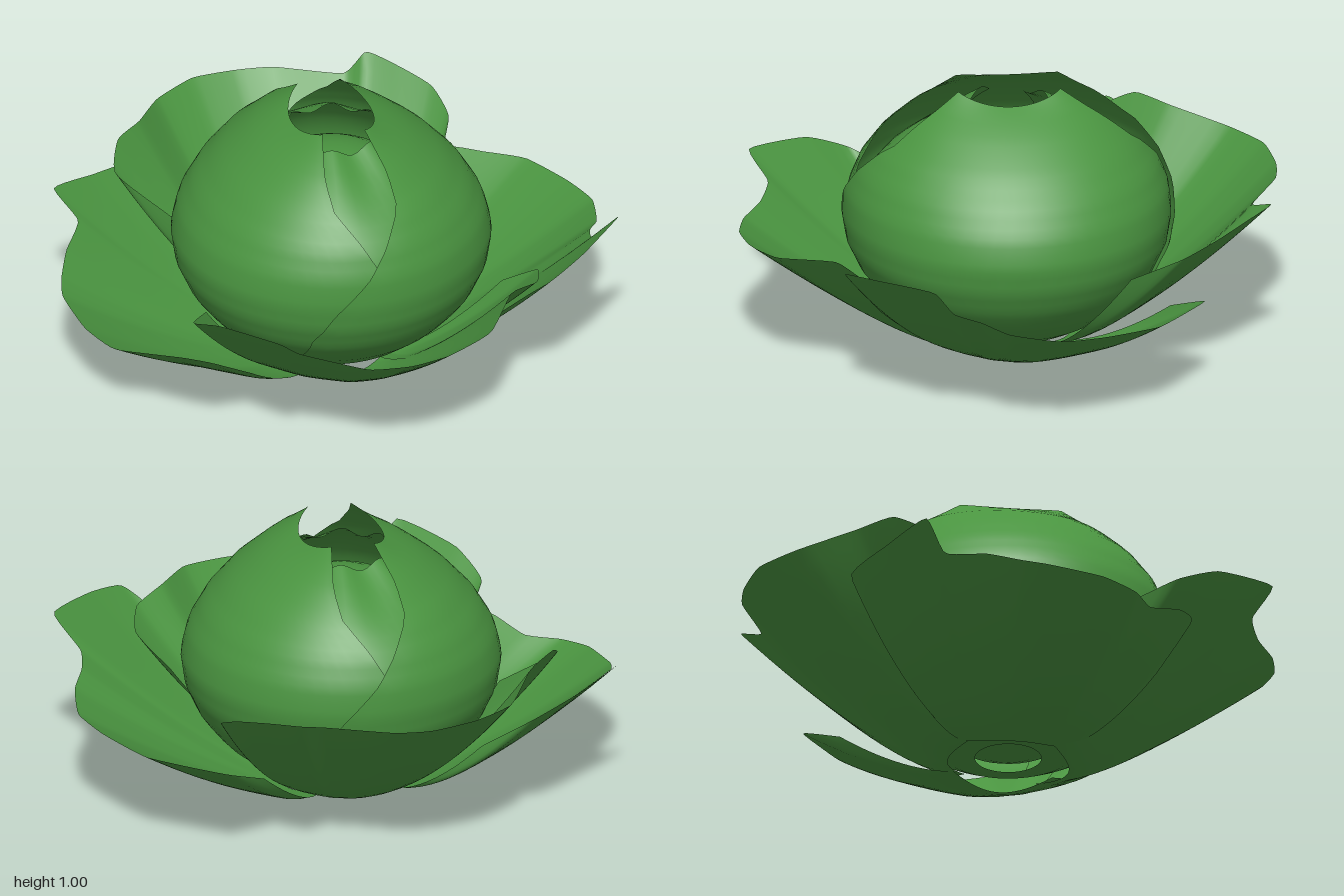
import * as THREE from 'three';

const V = (x, y, z) => new THREE.Vector3(x, y, z);

// Grid surface from a function of u, v in 0..1
function sheet(name, material, nu, nv, point) {
  const pos = [], index = [];
  for (let j = 0; j <= nv; j++) {
    for (let i = 0; i <= nu; i++) {
      pos.push(...point(i / nu, j / nv).toArray());
      if (i < nu && j < nv) {
        const a = j * (nu + 1) + i, b = a + nu + 1;
        index.push(a, a + 1, b, a + 1, b + 1, b);
      }
    }
  }
  const geo = new THREE.BufferGeometry();
  geo.setAttribute('position', new THREE.Float32BufferAttribute(pos, 3));
  geo.setIndex(index);
  geo.computeVertexNormals();
  const mesh = new THREE.Mesh(geo, material);
  mesh.name = name;
  return mesh;
}

// Piecewise linear lookup in rows of [key, ...values]
function lookup(rows, key, column) {
  for (let i = 1; i < rows.length; i++) {
    const a = rows[i - 1], b = rows[i];
    if (key <= b[0] || i === rows.length - 1) {
      const t = THREE.MathUtils.clamp((key - a[0]) / (b[0] - a[0]), 0, 1);
      return THREE.MathUtils.lerp(a[column], b[column], t);
    }
  }
}

// Head outline: height, half width in x, half depth in z
const HEAD = [
  [0.04, 0.12, 0.12], [0.07, 0.24, 0.24], [0.12, 0.34, 0.34], [0.2, 0.44, 0.44],
  [0.3, 0.52, 0.53], [0.4, 0.565, 0.575], [0.5, 0.58, 0.59], [0.6, 0.555, 0.58],
  [0.7, 0.495, 0.54], [0.8, 0.405, 0.47], [0.9, 0.285, 0.365], [0.95, 0.215, 0.285], [1, 0.15, 0.215],
];
// Side edges of a wrapping leaf: height, x of the front edge, x of the back edge
const WRAP = [
  [0.04, -0.1, 0], [0.2, -0.22, -0.12], [0.35, -0.2, -0.14], [0.48, -0.13, -0.12], [0.62, 0, -0.04],
  [0.72, 0.07, 0.02], [0.82, 0.13, 0.1], [0.9, 0.12, 0.11], [1, 0.075, 0.08],
];

function wrapLeaf(material, turn, size) {
  const leaf = sheet('wrappingLeaf', material, 32, 32, (u, v) => {
    const h = 0.04 + 0.96 * v;
    const rx = lookup(HEAD, h, 1), rz = lookup(HEAD, h, 2);
    const front = Math.acos(lookup(WRAP, h, 1) / rx);
    const back = -Math.acos(lookup(WRAP, h, 2) / rx);
    const a = THREE.MathUtils.lerp(front, back, u);
    // the crossing front edge lies just over its neighbour
    const lift = 1 + 0.025 * Math.max(0, 1 - u * 4) * (h < 0.8 ? 1 : 0.3);
    const dip = 0.035 * Math.sin(Math.PI * u) * Math.pow(v, 12);
    return V(Math.cos(a) * rx * size * lift, h - dip, Math.sin(a) * rz * size * lift);
  });
  leaf.rotation.y = turn;
  return leaf;
}

// Tucked leaf closing the gap between the wrapping leaves
function innerLeaf(material, turn) {
  const leaf = sheet('innerLeaf', material, 24, 20, (u, v) => {
    const h = 0.08 + 0.82 * v;
    const a = (u - 0.5) * 2.5;
    const k = 0.93;
    const rx = lookup(HEAD, h + 0.06 * v, 1) * k, rz = lookup(HEAD, h + 0.06 * v, 2) * k;
    const wave = 0.015 * Math.sin(u * 19) * Math.pow(v, 6);
    return V(Math.sin(a) * rx, h + wave, Math.cos(a) * rz * (1 - 0.35 * Math.pow(v, 10)));
  });
  leaf.rotation.y = turn;
  return leaf;
}

// Open leaf spreading from a short base arc to a ragged rim
function outerLeaf(name, material, angle, rim, baseY, bend) {
  const curve = new THREE.CatmullRomCurve3(rim.map(p => V(...p)), false, 'catmullrom', 0.25);
  const dir = V(Math.cos(angle), 0, Math.sin(angle));
  const side = V(-dir.z, 0, dir.x);
  const flip = rim[0][0] * side.x + rim[0][2] * side.z > 0 ? 1 : -1;
  return sheet(name, material, 60, 16, (u, v) => {
    const p = curve.getPoint(u);
    const out = THREE.MathUtils.lerp(0.13 + 0.09 * Math.sin(Math.PI * u), p.dot(dir), v);
    const across = THREE.MathUtils.lerp(flip * (0.5 - u) * 0.36, p.dot(side), Math.pow(v, 0.8));
    const y0 = baseY + 0.03 * Math.pow(2 * u - 1, 2);
    const y = y0 + (p.y - y0) * Math.pow(v, bend);
    return dir.clone().multiplyScalar(out).addScaledVector(side, across).setY(y);
  });
}

export function createModel() {
  const group = new THREE.Group();
  const green = new THREE.MeshStandardMaterial({ color: 0x4a9440, side: THREE.DoubleSide });
  green.name = 'leafGreen';

  // Heart and head
  const heart = new THREE.Mesh(new THREE.SphereGeometry(0.4, 32, 20), green);
  heart.name = 'heart';
  heart.position.y = 0.44;
  heart.scale.y = 0.95;
  group.add(heart);
  for (const turn of [0, Math.PI]) {
    group.add(wrapLeaf(green, turn, 1), innerLeaf(green, turn));
  }

  // Outer leaves, rims as [x, y, z]
  group.add(outerLeaf('frontLeaf', green, Math.PI / 2, [
    [-0.56, 0.43, 0.36], [-0.65, 0.49, 0.52], [-0.59, 0.56, 0.68], [-0.43, 0.59, 0.9], [-0.34, 0.5, 0.84],
    [-0.22, 0.47, 0.88], [-0.1, 0.46, 0.95], [0.05, 0.47, 0.98], [0.2, 0.48, 0.955], [0.37, 0.5, 0.87],
    [0.5, 0.53, 0.67], [0.62, 0.5, 0.57], [0.66, 0.46, 0.42], [0.56, 0.36, 0.3],
  ], 0, 1.25));
  group.add(outerLeaf('backLeaf', green, -Math.PI / 2, [
    [-0.52, 0.45, -0.28], [-0.7, 0.59, -0.4], [-0.66, 0.66, -0.52], [-0.55, 0.65, -0.64], [-0.43, 0.61, -0.84],
    [-0.27, 0.61, -0.95], [-0.1, 0.6, -0.98], [0.04, 0.6, -0.965], [0.27, 0.6, -0.86], [0.37, 0.64, -0.92],
    [0.47, 0.62, -0.82], [0.56, 0.59, -0.71], [0.59, 0.53, -0.58], [0.5, 0.42, -0.4],
  ], 0.02, 1.3));
  group.add(outerLeaf('leftLeaf', green, 0, [
    [0.38, 0.28, 0.5], [0.57, 0.48, 0.62], [0.66, 0.55, 0.65], [0.8, 0.58, 0.55], [0.98, 0.6, 0.36],
    [0.9, 0.48, 0.28], [0.92, 0.45, 0.18], [0.97, 0.42, 0.08], [1, 0.4, -0.1], [0.95, 0.39, -0.27],
    [0.85, 0.38, -0.47], [0.72, 0.37, -0.57], [0.58, 0.36, -0.66], [0.42, 0.28, -0.55],
  ], 0.005, 1.3));
  group.add(outerLeaf('rightLeaf', green, Math.PI, [
    [-0.4, 0.3, -0.5], [-0.56, 0.46, -0.66], [-0.75, 0.5, -0.56], [-0.92, 0.54, -0.44], [-0.85, 0.44, -0.36],
    [-0.93, 0.41, -0.22], [-0.98, 0.37, -0.1], [-1, 0.35, 0], [-0.97, 0.33, 0.2], [-0.9, 0.31, 0.33],
    [-0.78, 0.31, 0.4], [-0.69, 0.35, 0.52], [-0.6, 0.35, 0.58], [-0.42, 0.22, 0.48],
  ], 0.005, 1.45));
  return group;
}
